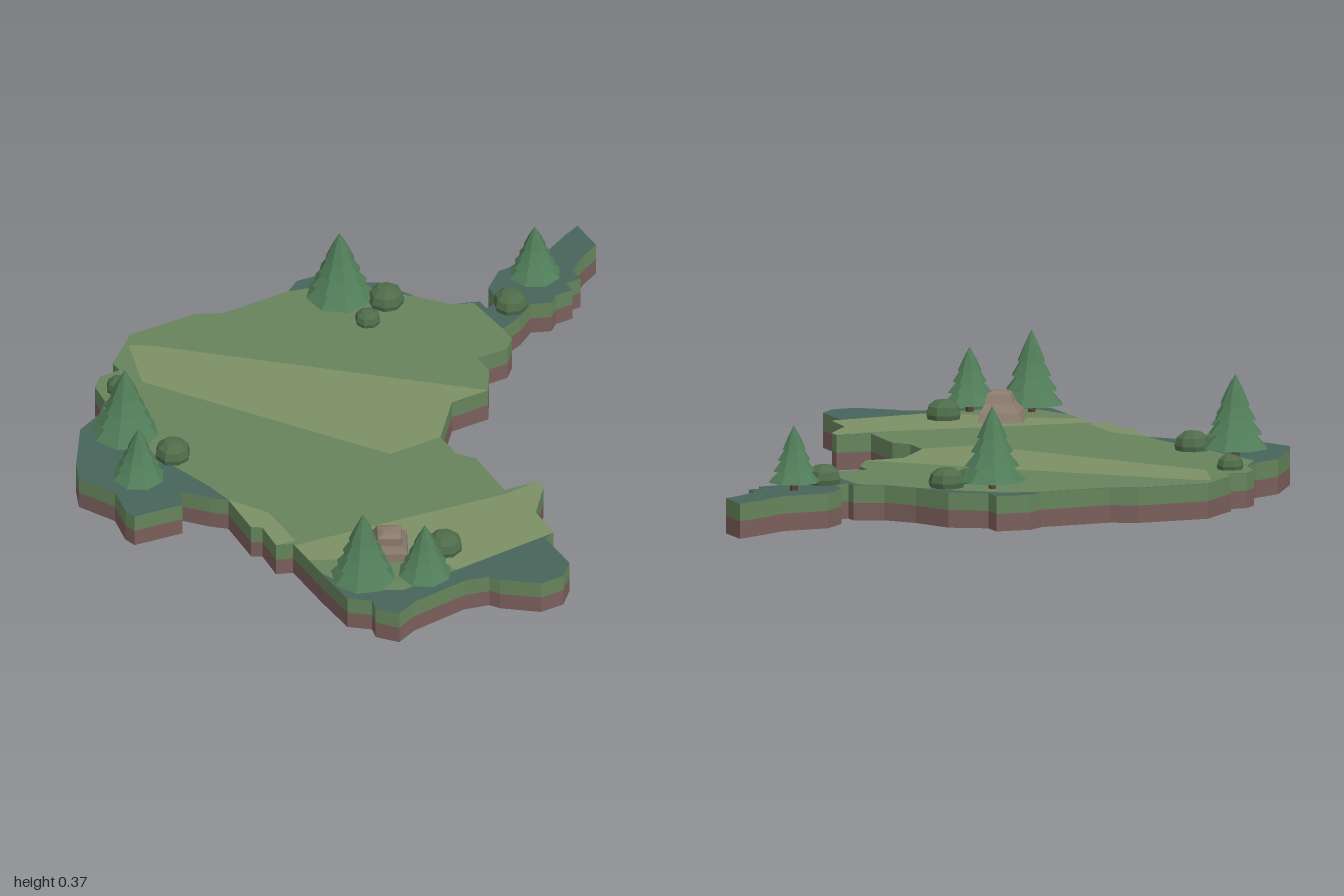
import * as THREE from 'three';

const TOP = 0.11;
const mat = (color, extra = {}) => new THREE.MeshStandardMaterial({ color, flatShading: true, ...extra });
const M = {
  grass: mat(0x67835d), light: mat(0x7d9065), forest: mat(0x46645a), bank: mat(0x66855c),
  soil: mat(0x7a5f5b), under: mat(0x352a28), leaf: mat(0x507c58), trunk: mat(0x5a4038),
  bush: mat(0x4f6c4a), rock: mat(0x8a7b6e),
};

// Coastline sections as [x, z], running clockwise seen from above
const north = [[-0.72, -0.7], [-0.68, -0.74], [-0.61, -0.74], [-0.61, -0.78], [-0.54, -0.84], [-0.49, -0.885],
  [-0.26, -0.88], [-0.18, -0.84], [0.05, -0.84]];
const northEastBay = [[0.1, -0.875], [0.21, -0.865], [0.21, -0.8], [0.32, -0.74], [0.35, -0.68]];
const northEast = [[0.38, -0.62], [0.45, -0.535]];
const spit = [[0.54, -0.5], [0.54, -0.46], [0.59, -0.47], [0.6, -0.55], [0.67, -0.61], [0.82, -0.61], [0.94, -0.67],
  [1, -0.695], [1, -0.58], [0.94, -0.55], [0.87, -0.5], [0.87, -0.45], [0.82, -0.45], [0.82, -0.41], [0.76, -0.41],
  [0.73, -0.385], [0.67, -0.41], [0.61, -0.37]];
const east = [[0.53, -0.34], [0.53, -0.28], [0.49, -0.24], [0.385, -0.24], [0.385, -0.17], [0.33, -0.08], [0.2, -0.08],
  [0.08, 0.06], [0.08, 0.16], [0.12, 0.21], [0.115, 0.4], [0.225, 0.41], [0.225, 0.45], [0.14, 0.55], [0.135, 0.67]];
const southCape = [[0.1, 0.68], [0.1, 0.83], [0.05, 0.88], [-0.03, 0.88], [-0.13, 0.8], [-0.15, 0.77], [-0.23, 0.75],
  [-0.42, 0.77], [-0.49, 0.8], [-0.54, 0.74], [-0.53, 0.7], [-0.59, 0.65]];
const west = [[-0.595, 0.5], [-0.595, 0.32], [-0.645, 0.3], [-0.635, 0.2], [-0.665, 0.18], [-0.655, 0.02]];
const westLobe = [[-0.7, -0.02], [-0.76, -0.09], [-0.79, -0.03], [-0.95, -0.05], [-0.96, -0.09], [-0.94, -0.19], [-1, -0.31],
  [-0.97, -0.38], [-0.93, -0.44], [-0.87, -0.53], [-0.78, -0.57], [-0.73, -0.62]];

const island = [...north, ...northEastBay, ...northEast, ...spit, ...east, ...southCape, ...west, ...westLobe];
const meadow = [...north, [0.16, -0.81], [0.28, -0.72], ...northEast, [0.52, -0.5], ...east,
  [-0.22, 0.69], [-0.42, 0.7], [-0.54, 0.63], ...west, [-0.67, -0.07], [-0.72, -0.24], [-0.79, -0.53], [-0.73, -0.62]];
const streaks = [
  [[-0.52, -0.84], [-0.46, -0.8], [0.33, -0.08], [0.2, -0.08], [0.08, 0.06], [-0.1, 0.06], [-0.58, -0.65]],
  [[-0.595, 0.33], [-0.35, 0.36], [0.11, 0.42], [0.225, 0.41], [0.225, 0.45], [0.14, 0.55], [0.135, 0.67], [-0.22, 0.69],
    [-0.4, 0.52], [-0.595, 0.42]],
  [[-0.655, 0.02], [-0.58, 0.14], [-0.58, 0.31], [-0.645, 0.3], [-0.635, 0.2], [-0.665, 0.18]],
];

const toShape = (pts) => new THREE.Shape(pts.map(([x, z]) => new THREE.Vector2(x, -z)));

function add(parent, name, geometry, material, x = 0, y = 0, z = 0) {
  const mesh = new THREE.Mesh(geometry, material);
  mesh.name = name;
  mesh.position.set(x, y, z);
  parent.add(mesh);
  return mesh;
}

function slab(pts, depth) {
  return new THREE.ExtrudeGeometry(toShape(pts), { depth, bevelEnabled: false }).rotateX(-Math.PI / 2);
}

function patch(pts) {
  return new THREE.ShapeGeometry(toShape(pts)).rotateX(-Math.PI / 2);
}

function lathe(profile, sides) {
  return new THREE.LatheGeometry(profile.map(([r, y]) => new THREE.Vector2(r, y)), sides);
}

// Conifer: a thin trunk and overlapping skirts in one profile
function tree(radius, height) {
  const group = new THREE.Group();
  group.name = 'tree';
  add(group, 'trunk', new THREE.CylinderGeometry(0.011, 0.013, 0.06, 6), M.trunk, 0, 0.03, 0);
  const base = 0.027, tiers = 5, profile = [[0, base + 0.012]];
  for (let i = 0; i < tiers; i++) {
    const r = radius * (1 - i * 0.185);
    const y = base + (height - base) * (i / tiers) * 0.96;
    const next = base + (height - base) * ((i + 1) / tiers) * 0.96;
    profile.push([r, y]);
    profile.push(i === tiers - 1 ? [0, height] : [r * 0.52, next + 0.006]);
  }
  add(group, 'foliage', lathe(profile, 8), M.leaf);
  return group;
}

// Boulder with a leaning, stepped four-sided body
function boulder() {
  const g = lathe([[0.1, 0], [0.088, 0.03], [0.062, 0.055], [0.052, 0.082], [0.03, 0.09], [0, 0.092]], 4);
  g.rotateY(0.3);
  const p = g.attributes.position;
  for (let i = 0; i < p.count; i++) p.setZ(i, p.getZ(i) + p.getY(i) * 0.3);
  return g;
}

export function createModel() {
  const model = new THREE.Group();
  model.name = 'forestIsland';

  // Ground layers
  add(model, 'soilLayer', slab(island, 0.055), [M.under, M.soil]);
  add(model, 'grassLayer', slab(island, TOP - 0.055), [M.forest, M.bank], 0, 0.055, 0);
  add(model, 'meadow', patch(meadow), M.grass, 0, TOP + 0.001, 0);
  for (const s of streaks) add(model, 'lightGrass', patch(s), M.light, 0, TOP + 0.002, 0);

  // Trees: x, z, radius, height
  for (const [x, z, r, h] of [[0.165, -0.72, 0.106, 0.26], [-0.77, -0.425, 0.106, 0.26], [-0.505, 0.6, 0.102, 0.26],
    [-0.85, -0.2, 0.082, 0.205], [-0.33, 0.68, 0.085, 0.205], [0.745, -0.515, 0.082, 0.205]]) {
    const t = tree(r, h);
    t.position.set(x, TOP, z);
    t.rotation.y = x * 3;
    model.add(t);
  }

  // Bushes: x, z, radius
  for (const [x, z, r] of [[-0.66, -0.65, 0.042], [-0.69, -0.265, 0.055], [0.285, -0.64, 0.056], [0.185, -0.58, 0.04],
    [0.61, -0.43, 0.054], [-0.2, 0.575, 0.056]]) {
    const g = lathe([[0.95, 0], [1.02, 0.3], [0.88, 0.75], [0.5, 1.05], [0, 1.12]].map(([a, b]) => [a * r, b * r]), 8);
    add(model, 'bush', g, M.bush, x, TOP, z).rotation.y = x * 2 + 0.4;
  }

  add(model, 'boulder', boulder(), M.rock, -0.36, TOP, 0.485);
  return model;
}
